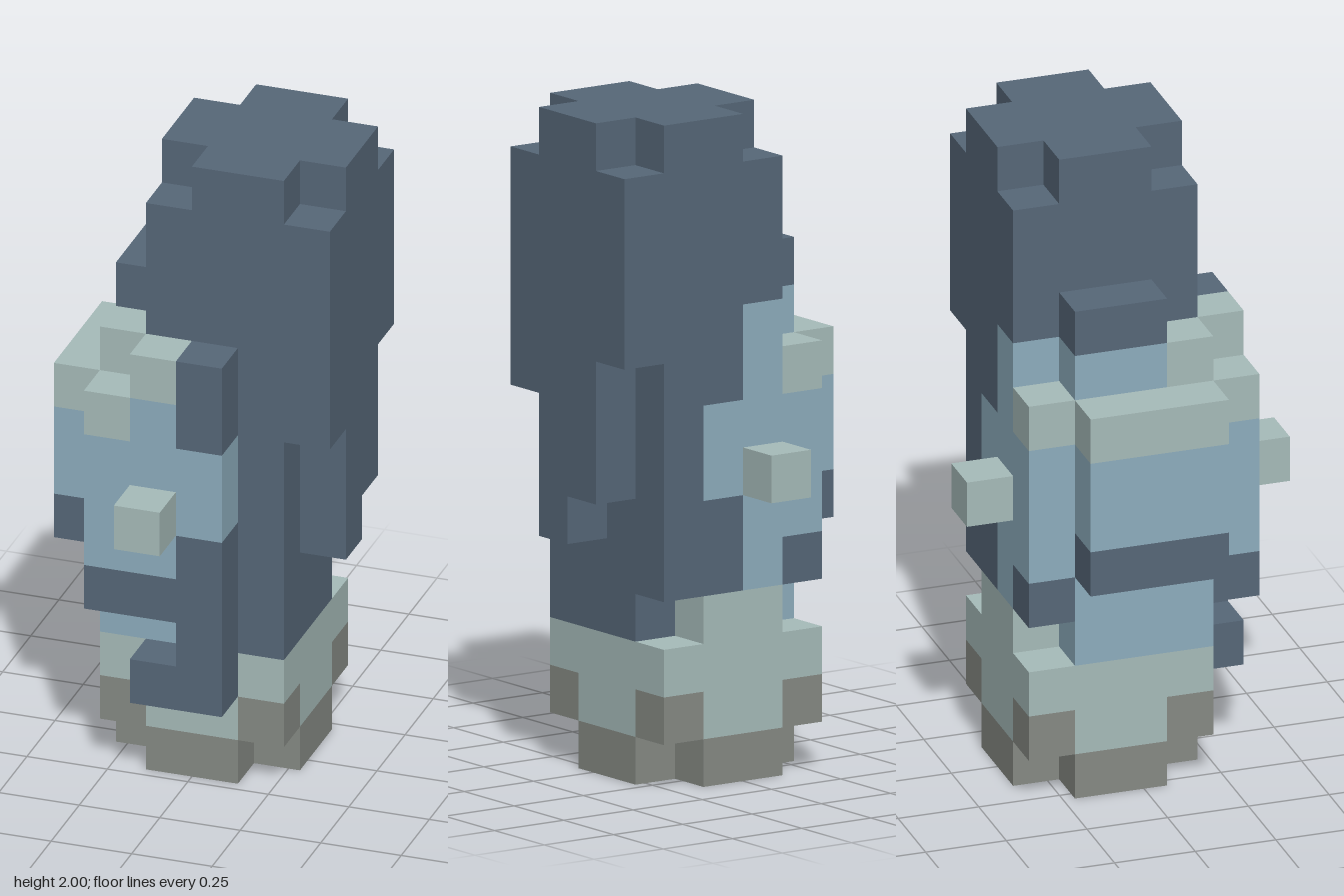
import * as THREE from 'three';

const U = 1 / 7; // edge of one block

const material = (name, color) => {
  const m = new THREE.MeshStandardMaterial({ color });
  m.name = name;
  return m;
};

export function createModel() {
  const model = new THREE.Group();
  const navy = material('navy', 0x566778);
  const blue = material('skyBlue', 0x8dadbd);
  const pale = material('paleGreen', 0xa6bbb9);
  const grey = material('warmGrey', 0x868a84);

  // One box spanning whole blocks: [x0, x1, y0, y1, z0, z1], z counted from the back
  const part = (name, ...pieces) => {
    const group = new THREE.Group();
    group.name = name;
    for (const [mat, x0, x1, y0, y1, z0, z1] of pieces) {
      const geo = new THREE.BoxGeometry((x1 - x0) * U, (y1 - y0) * U, (z1 - z0) * U);
      const mesh = new THREE.Mesh(geo, mat);
      mesh.name = name + 'Block';
      mesh.position.set((x0 + x1) / 2 * U, (y0 + y1) / 2 * U, ((z0 + z1) / 2 - 3.5) * U);
      group.add(mesh);
    }
    model.add(group);
  };

  // A plus-shaped layer, four blocks wide with its corners left out
  const cross = (mat, x, y) => [
    [mat, x, x + 4, y, y + 1, 2, 4],
    [mat, x + 1, x + 3, y, y + 1, 1, 2],
    [mat, x + 1, x + 3, y, y + 1, 4, 5],
  ];

  // Base: grey foot, grey corners, pale boot and its rear rim
  part('foot', ...cross(grey, -2, 0));
  part('bootCorners', ...[-2, 1].flatMap(x => [1, 4].map(z => [grey, x, x + 1, 1, 2, z, z + 1])));
  part('boot', ...cross(pale, -2, 1), [pale, -2, 2, 2, 3, 1, 5], [pale, -1, 1, 3, 4, 1, 2]);

  // Ankle between boot and body
  part('ankle',
    [navy, -1, 2, 3, 4, 2, 4],
    [navy, 0, 2, 3, 4, 4, 5],
    [blue, -1, 0, 3, 4, 4, 5]);

  // Tall body with a blue patch on its back
  part('body',
    [navy, -1, 2, 4, 13, 2, 5],
    [navy, 1, 2, 4, 13, 1, 2],
    [navy, 0, 1, 4, 6, 1, 2],
    [blue, 0, 1, 6, 8, 1, 2],
    [navy, 0, 1, 8, 13, 1, 2],
    [blue, -1, 0, 4, 10, 1, 2],
    [navy, -1, 0, 10, 13, 1, 2]);
  part('bodyTop', ...cross(navy, -1, 13));

  // Left side: four strips of uneven length
  part('leftStrips', ...[9, 6, 5, 8].map((y, i) => [navy, 2, 3, y, 13, i + 1, i + 2]));

  // Right side: layered face
  part('rightCheek',
    [navy, -2, -1, 4, 5, 1, 2],
    [blue, -2, -1, 5, 8, 1, 2],
    [pale, -2, -1, 8, 9, 1, 2],
    [blue, -2, -1, 3, 10, 2, 4],
    [navy, -2, -1, 10, 11, 2, 4],
    [blue, -2, -1, 3, 9, 4, 5],
    [pale, -2, -1, 9, 10, 4, 5]);
  part('visor',
    [navy, -3, -2, 5, 6, 2, 5],
    [blue, -3, -2, 6, 8, 2, 5],
    [pale, -3, -2, 8, 9, 2, 5]);

  // Front plate with a hooked lower end
  part('frontPlate',
    [navy, -2, 0, 4, 5, 5, 6],
    [blue, -2, -1, 5, 8, 5, 6],
    [pale, -2, -1, 8, 9, 5, 6],
    [blue, -1, 0, 5, 9, 5, 6],
    [pale, -1, 0, 9, 10, 5, 6],
    [navy, -1, 0, 2, 3, 5, 6],
    [navy, 0, 1, 2, 6, 5, 6],
    [blue, 0, 1, 6, 8, 5, 6],
    [navy, 0, 1, 8, 10, 5, 6]);

  // Knobs at front and back
  part('frontKnob', [pale, -1, 0, 6, 7, 6, 7]);
  part('backKnob', [pale, -1, 0, 6, 7, 0, 1]);

  return model;
}
